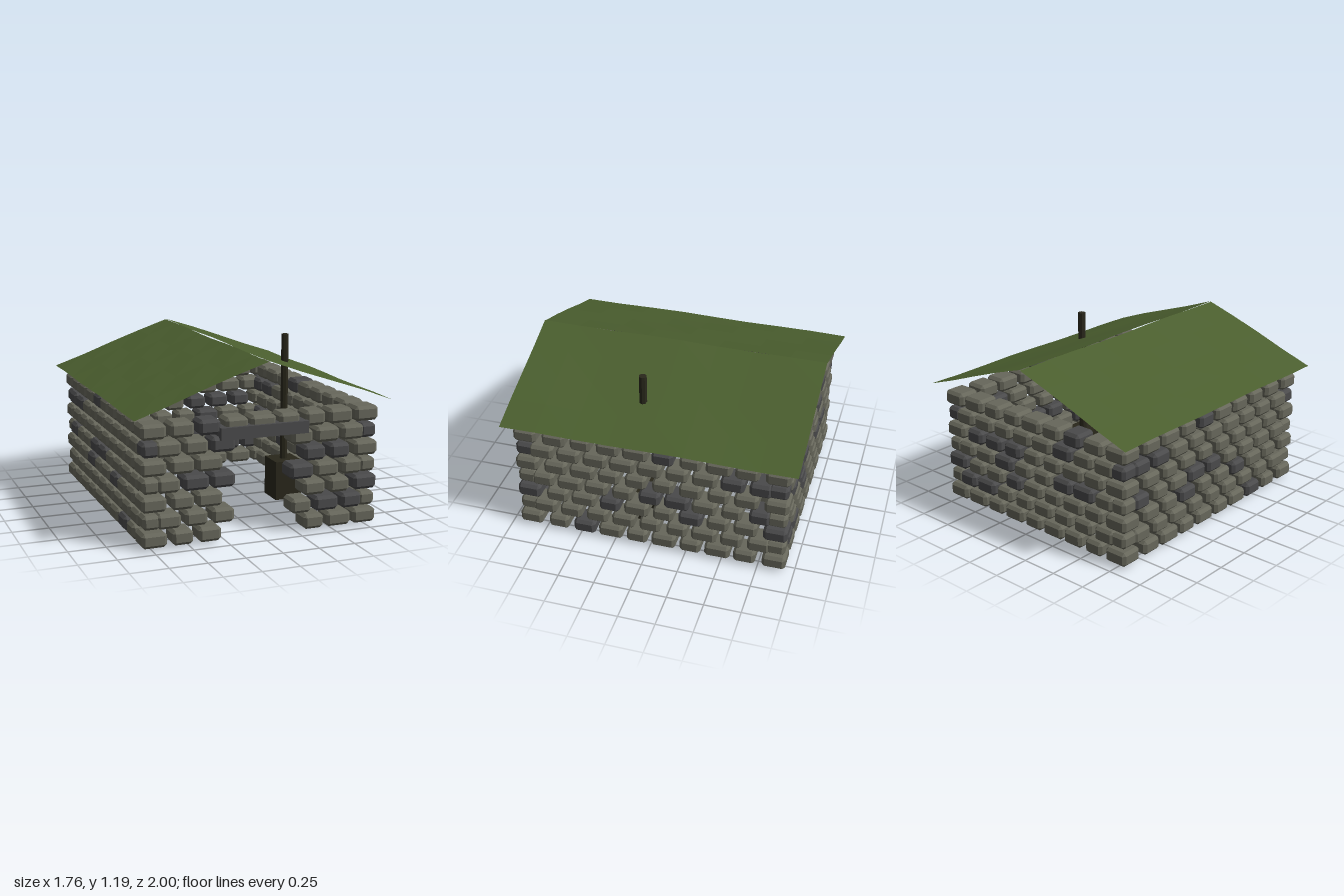
import * as THREE from 'three';
import { mergeGeometries } from 'three/addons/utils/BufferGeometryUtils.js';
import { ConvexGeometry } from 'three/addons/geometries/ConvexGeometry.js';

const material = (name, color, side = THREE.FrontSide) => {
  const m = new THREE.MeshStandardMaterial({ color, side });
  m.name = name;
  return m;
};

// Dark stones ('1') per course, bottom to top; even courses are offset by half a stone
const ACROSS = ['000000000', '00000011', '000001001', '01100100', '000001110', '00100000', '001000000'];
const ALONG = ['1010000000', '000000000', '0001001000', '000011001', '0000000000', '000000011', '1000010000'];
const HALF_X = 0.82, HALF_Z = 0.94, DEPTH = 0.16;

// Repeatable variation in 0..1
const vary = (a, b) => {
  const s = Math.sin(a * 12.9898 + b * 78.233) * 43758.5453;
  return s - Math.floor(s);
};

// Block with all edges chamfered
function chamferedBox(w, h, d, x, y, z, c = 0.02) {
  const size = [w / 2, h / 2, d / 2], points = [];
  for (const sx of [-1, 1]) for (const sy of [-1, 1]) for (const sz of [-1, 1])
    for (let axis = 0; axis < 3; axis++) {
      const s = [sx, sy, sz];
      points.push(new THREE.Vector3(...size.map((v, i) => s[i] * (i === axis ? v : v - c))));
    }
  return new ConvexGeometry(points).translate(x, y, z);
}

export function createModel() {
  const model = new THREE.Group();
  model.name = 'stoneHut';
  const stone = material('stone', 0x67675b);
  const darkStone = material('darkStone', 0x4a4a4b);
  const turf = material('turf', 0x4b5f2f, THREE.DoubleSide);
  const iron = material('iron', 0x29271b);

  const add = (name, geometry, mat, x = 0, y = 0, z = 0) => {
    const mesh = new THREE.Mesh(geometry, mat);
    mesh.name = name;
    mesh.position.set(x, y, z);
    model.add(mesh);
    return mesh;
  };
  const box = (name, mat, w, h, d, x, y, z) => add(name, new THREE.BoxGeometry(w, h, d), mat, x, y, z);

  // One wall: courses of stones, with separate meshes for the two stone colours
  function wall(name, rows, half, place) {
    const sets = [[], []];
    rows.forEach((row, course) => {
      const odd = course % 2;
      const pitch = (2 * half) / (row.length + odd);
      [...row].forEach((dark, i) => {
        const edge = !odd && (i === 0 || i === row.length - 1);
        const width = edge ? 0.168 : 0.138 + 0.036 * vary(course + 1, i + 1);
        let along = -half + pitch * (i + (odd ? 1 : 0.5));
        if (edge) along = Math.sign(along) * (half - width / 2);
        const y = 0.065 + course * 0.1165;
        const g = place(width, y, along, { course, edge });
        if (g) sets[+dark].push(g);
      });
    });
    sets.forEach((set, i) => add(name + (i ? 'DarkStones' : 'Stones'), mergeGeometries(set), i ? darkStone : stone));
  }

  const zWall = HALF_Z - DEPTH / 2, xWall = HALF_X - DEPTH / 2;
  wall('backWall', ACROSS, HALF_X, (w, y, x) => chamferedBox(w, 0.098, DEPTH, x, y, -zWall));
  // Front wall leaves a doorway below the top course
  wall('frontWall', ACROSS, HALF_X, (w, y, x, { course }) =>
    course < 6 && Math.abs(x) < 0.22 ? null : chamferedBox(w, 0.098, DEPTH, x, y, zWall));
  // Side walls share the full corner stones of the front and back
  for (const [name, side] of [['leftWall', 1], ['rightWall', -1]])
    wall(name, ALONG, HALF_Z, (w, y, a, { edge }) =>
      edge ? null : chamferedBox(DEPTH, 0.098, w, side * xWall, y, -a));

  // Corner stones of the offset courses
  for (const course of [1, 3, 5]) {
    const set = [];
    for (const sx of [-1, 1]) for (const sz of [-1, 1])
      set.push(chamferedBox(0.115, 0.094, 0.13, sx * 0.753, 0.065 + course * 0.1165, sz * 0.867));
    add('cornerStones', mergeGeometries(set), course === 5 ? darkStone : stone);
  }

  box('doorLintel', darkStone, 0.605, 0.08, 0.18, 0, 0.718, 0.872);

  // Roof: two thin uneven slopes meeting at the ridge
  for (const side of [-1, 1]) {
    const g = new THREE.PlaneGeometry(0.88, 2, 4, 8).rotateX(-Math.PI / 2).translate(side * 0.44, 0, 0);
    const p = g.attributes.position;
    for (let i = 0; i < p.count; i++) {
      const x = Math.abs(p.getX(i)), z = p.getZ(i);
      const wave = 0.007 * Math.sin(z * 4 + x * 5 + side) * Math.cos(x * 3 - z * 2.3 * side);
      p.setY(i, 1.168 - x * 0.35 + wave);
    }
    const flat = g.toNonIndexed();
    flat.computeVertexNormals();
    add(side > 0 ? 'leftRoofSlope' : 'rightRoofSlope', flat, turf);
  }

  // Stove with its pipe through the roof
  box('stove', iron, 0.2, 0.28, 0.2, 0.51, 0.14, 0.12);
  const pipe = new THREE.CylinderGeometry(0.027, 0.027, 0.92, 8).toNonIndexed();
  pipe.computeVertexNormals();
  add('stovePipe', pipe, iron, 0.51, 0.725, 0.12);

  // Bench by the back wall
  box('benchSeat', stone, 0.75, 0.03, 0.16, -0.195, 0.172, -0.67);
  for (const x of [-0.53, 0.14]) box('benchLeg', stone, 0.03, 0.157, 0.15, x, 0.0785, -0.67);

  return model;
}
